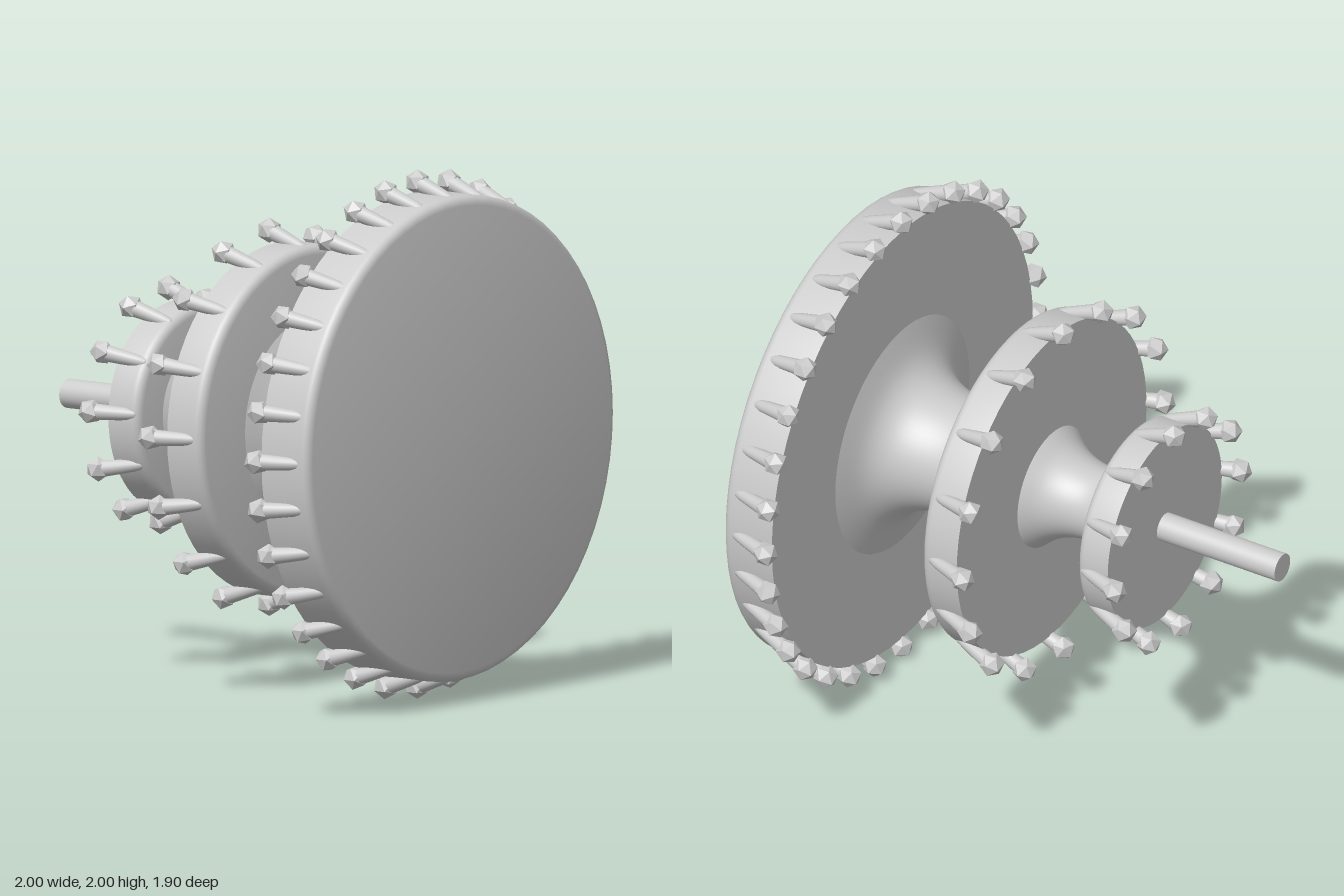
import * as THREE from 'three';
import { toCreasedNormals } from 'three/addons/utils/BufferGeometryUtils.js';

const material = new THREE.MeshStandardMaterial({ color: 0xcccccc });
const facetedMaterial = new THREE.MeshStandardMaterial({ color: 0xcccccc, flatShading: true });

function addMesh(parent, name, geometry, mat = material) {
  const mesh = new THREE.Mesh(geometry, mat);
  mesh.name = name;
  parent.add(mesh);
  return mesh;
}

// Turned part around the z axis; points are [radius, z] with rising z
function turned(points) {
  const profile = points.map(([r, z]) => new THREE.Vector2(r, z));
  return new THREE.LatheGeometry(profile, 64).rotateX(Math.PI / 2);
}

// Flat disc with a rounded front edge
function discGeometry(radius, back, front) {
  const bevel = 0.035;
  const points = [[0, back], [radius, back]];
  for (let i = 0; i <= 4; i++) {
    const a = (i / 4) * Math.PI / 2;
    points.push([radius - bevel + bevel * Math.cos(a), front - bevel + bevel * Math.sin(a)]);
  }
  points.push([0, front]);
  return toCreasedNormals(turned(points), 0.7);
}

// Concave neck, smoothed through a few points
function neckGeometry(points) {
  const curve = new THREE.SplineCurve(points.map(([r, z]) => new THREE.Vector2(r, z)));
  return turned(curve.getPoints(28).map((p) => [p.x, p.y]));
}

// Icosahedron with one corner on +y
function knobGeometry(radius) {
  const t = (1 + Math.sqrt(5)) / 2;
  return new THREE.IcosahedronGeometry(radius, 0).rotateZ(Math.atan(1 / t));
}

// Ring of slanted tapered pegs, each ending in a faceted knob
function addPegRing(parent, name, { count, radius, z, turn = 0 }) {
  const ring = new THREE.Group();
  ring.name = name;
  const slant = Math.atan(0.34);
  const length = 0.19;
  const stem = new THREE.LatheGeometry([
    [0, 0], [0.012, 0.003], [0.019, 0.012], [0.024, 0.05], [0.033, length],
  ].map(([r, y]) => new THREE.Vector2(r, y)), 16);
  // knob centre at the origin, stem running forward and inward
  stem.translate(0, -length, 0).rotateX(-Math.PI / 2 + slant);
  const knob = knobGeometry(0.048);
  for (let i = 0; i < count; i++) {
    const peg = new THREE.Group();
    peg.name = 'peg';
    const a = turn + (i / count) * Math.PI * 2;
    peg.position.set(radius * Math.cos(a), radius * Math.sin(a), z);
    peg.rotation.z = a - Math.PI / 2;
    addMesh(peg, 'pegStem', stem);
    addMesh(peg, 'pegKnob', knob, facetedMaterial);
    ring.add(peg);
  }
  parent.add(ring);
}

export function createModel() {
  const model = new THREE.Group();
  model.name = 'tieredDiscs';
  const body = new THREE.Group();
  body.name = 'body';
  body.position.y = 1;
  model.add(body);

  // Discs
  addMesh(body, 'largeDisc', discGeometry(0.915, 0.73, 0.95));
  addMesh(body, 'middleDisc', discGeometry(0.665, 0.07, 0.23));
  addMesh(body, 'smallDisc', discGeometry(0.4, -0.43, -0.29));

  // Necks between the discs
  addMesh(body, 'frontNeck', neckGeometry([
    [0.4, 0.23], [0.3, 0.28], [0.245, 0.335], [0.225, 0.43],
    [0.24, 0.54], [0.28, 0.63], [0.35, 0.69], [0.47, 0.73],
  ]));
  addMesh(body, 'backNeck', neckGeometry([
    [0.25, -0.29], [0.19, -0.25], [0.158, -0.21], [0.145, -0.14],
    [0.158, -0.06], [0.19, 0.01], [0.24, 0.07],
  ]));

  // Shaft at the back
  const shaft = new THREE.CylinderGeometry(0.055, 0.055, 0.54, 32).rotateX(Math.PI / 2);
  addMesh(body, 'shaft', shaft).position.z = -0.68;

  // Pegs round each disc
  addPegRing(body, 'largePegRing', { count: 32, radius: 0.952, z: 0.735 });
  addPegRing(body, 'middlePegRing', { count: 16, radius: 0.705, z: 0.02 });
  addPegRing(body, 'smallPegRing', { count: 12, radius: 0.44, z: -0.485, turn: -Math.PI / 60 });

  return model;
}
